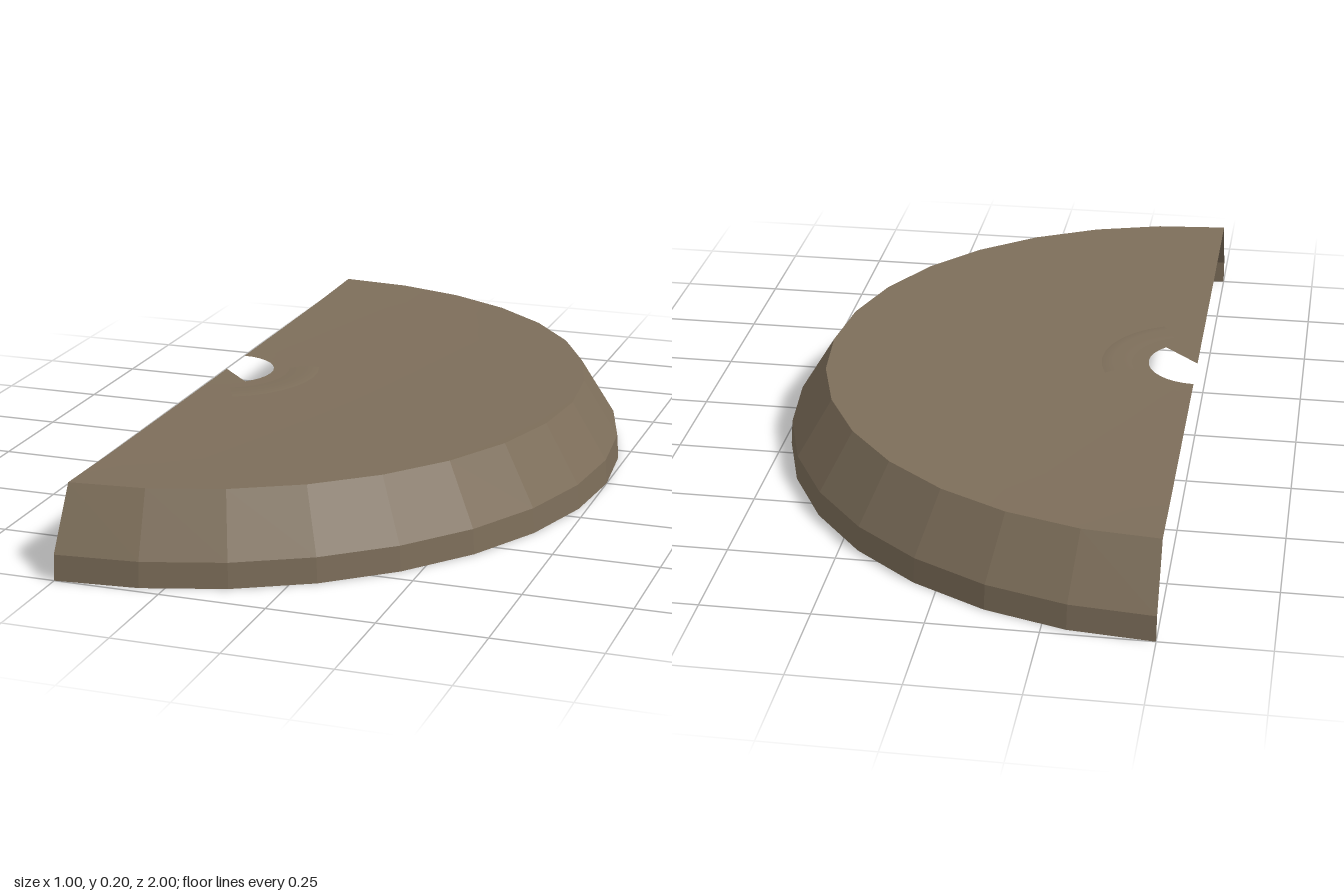
import * as THREE from 'three';

const SEGMENTS = 16; // facets around the half circle

export function createModel() {
  const model = new THREE.Group();
  model.name = 'halfDiscShell';

  const brown = new THREE.MeshStandardMaterial({ color: 0x7d6e5a, side: THREE.DoubleSide });
  brown.name = 'dullBrown';

  // Sweeps a [radius, height] profile around the middle of the straight edge.
  function sweep(name, profile, segments, start, length, faceted) {
    const points = profile.map(([r, y]) => new THREE.Vector2(r, y));
    let geometry = new THREE.LatheGeometry(points, segments, start, length);
    if (faceted) {
      geometry = geometry.toNonIndexed();
      geometry.computeVertexNormals();
    }
    const mesh = new THREE.Mesh(geometry, brown);
    mesh.name = name;
    mesh.position.x = -0.5;
    model.add(mesh);
  }

  // Open outer wall: a short upright skirt, then a sloping shoulder
  sweep('skirt', [[1, 0], [0.996, 0.06]], SEGMENTS, 0, Math.PI, true);
  sweep('shoulder', [[0.996, 0.06], [0.91, 0.2]], SEGMENTS, 0, Math.PI, true);

  // Very slightly dished top with a round hole
  sweep('top', [[0.91, 0.2], [0.7, 0.197], [0.24, 0.196], [0.12, 0.196]], SEGMENTS, 0, Math.PI, false);

  // Filled wedge at the front of the hole
  sweep('holeWedge', [[0.12, 0.196], [0, 0.196]], 4, 0, Math.PI / 4, false);

  // Faint raised crescent beside the hole
  sweep('crescent', [[0.235, 0.196], [0.21, 0.2], [0.16, 0.196]], 8, 0.45, 1.5, false);

  return model;
}
